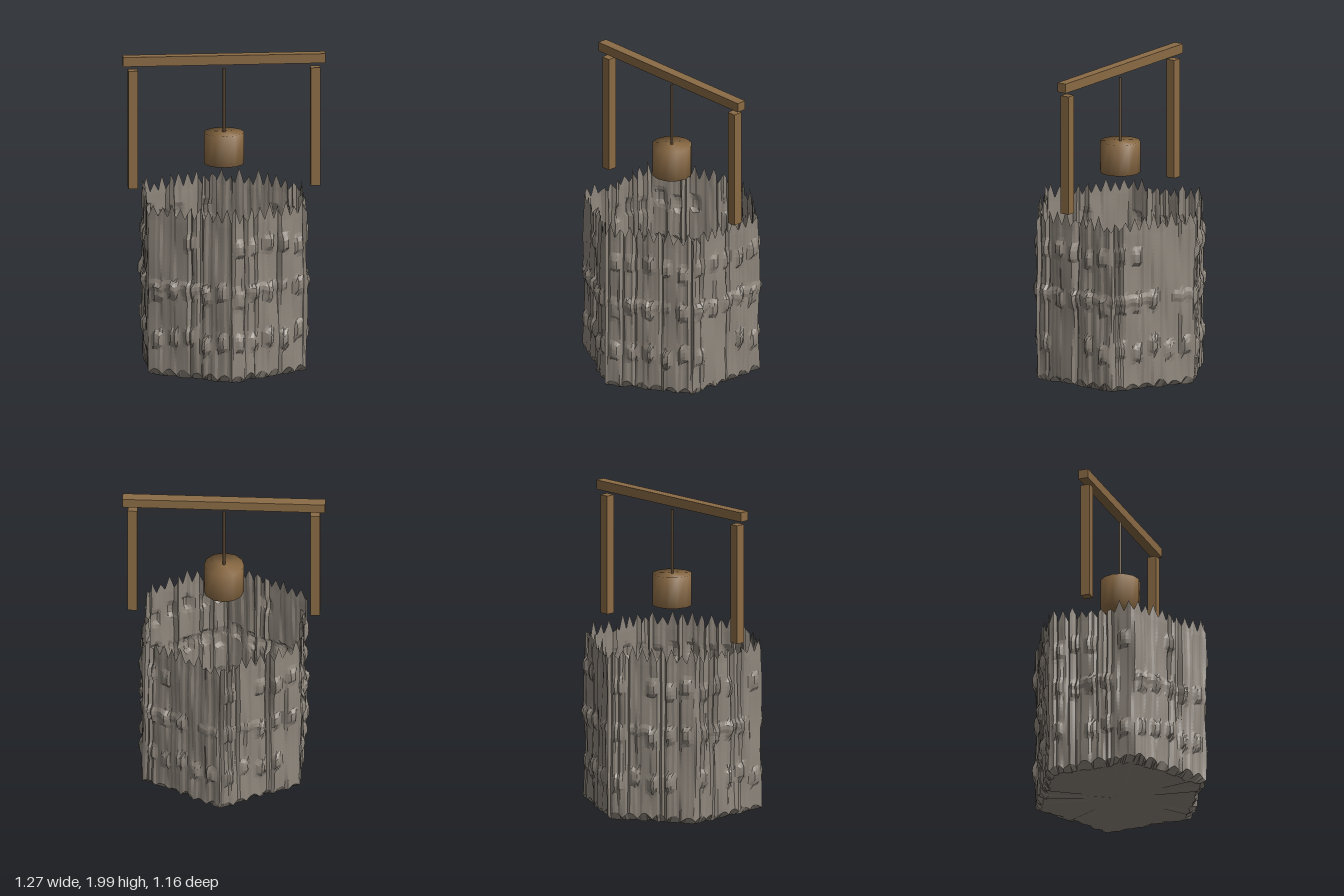
import * as THREE from 'three';
import { mergeVertices } from 'three/addons/utils/BufferGeometryUtils.js';

const SEGMENTS = 216;            // 36 columns on each of the six sides
const PER_SIDE = SEGMENTS / 6;

// Repeatable noise in 0..1
function hash(a, b = 0) {
  const s = Math.sin(a * 127.1 + b * 311.7 + 4.7) * 43758.5453;
  return s - Math.floor(s);
}
const bump = (d, w) => Math.max(0, 1 - (d / w) ** 4);

// Point on a hexagon whose corners lie on the z axis, pushed outwards by "out"
function hexPoint(i, out) {
  const side = Math.floor(i / PER_SIDE), t = (i % PER_SIDE) / PER_SIDE;
  const a = side * Math.PI / 3, b = a + Math.PI / 3, mid = a + Math.PI / 6;
  const r = 0.572;
  return [
    r * (Math.sin(a) * (1 - t) + Math.sin(b) * t) + Math.sin(mid) * out,
    r * (Math.cos(a) * (1 - t) + Math.cos(b) * t) + Math.cos(mid) * out,
  ];
}

// Roughness of the masonry: worn columns, ledges and knobs in rows
function relief(i, y) {
  const u = i % PER_SIDE, side = Math.floor(i / PER_SIDE);
  let out = 0.012 * (hash(Math.floor(i / 2)) - 0.5);
  out += 0.006 * Math.sin(y * 9 + Math.floor(i / 6) * 1.7);
  for (let row = 0; row < 3; row++) {
    const cy = 0.27 + row * 0.3;
    for (let k = 0; k < 5; k++) {
      if (hash(side * 5 + k, row) < 0.25) continue;
      const cu = 4 + k * 7, shift = (hash(k + side, row + 9) - 0.5) * 0.06;
      out += 0.021 * bump(u - cu, 2.2) * bump(y - cy - shift, 0.055);
    }
  }
  // Ledge along the middle course
  out += 0.008 * bump(y - 0.6, 0.035) * (hash(Math.floor(i / 9), 3) > 0.4 ? 1 : 0);
  // Long cracks which narrow towards the foot
  if (hash(i, 7) > 0.88) out -= 0.022 * Math.min(1, y + 0.2);
  return out;
}

// Thin six-sided wall with a jagged rim, a ragged foot and a fanned floor
function wellGeometry() {
  const positions = [0, 0.008, 0], index = [];
  const rows = 40;
  for (let j = 0; j <= rows; j++) {
    for (let i = 0; i < SEGMENTS; i++) {
      const tooth = Math.floor(i / 4), phase = (i % 4) / 4;
      const spike = 1 - Math.abs(phase * 2 - 1);
      const rim = 1.045 + spike * (0.035 + 0.07 * hash(tooth, 5));
      const foot = 0.03 + 0.045 * Math.abs(Math.sin(i * Math.PI / 6)) * (0.5 + 0.5 * hash(Math.floor(i / 6), 2));
      let x, y, z;
      if (j === 0) {
        [x, z] = hexPoint(i, 0);
        const s = 0.9 + 0.05 * hash(Math.floor(i / 3), 6);
        x *= s; z *= s;
        y = 0.008 + 0.012 * hash(Math.floor(i / 4), 8);
      } else {
        const t = (j - 1) / (rows - 1);
        y = foot + (1.02 - foot) * Math.min(1, t * rows / (rows - 1));
        if (j === rows) y = rim;
        [x, z] = hexPoint(i, relief(i, Math.min(y, 1.02)));
      }
      positions.push(x, y, z);
    }
  }
  const at = (j, i) => 1 + j * SEGMENTS + (i % SEGMENTS);
  for (let i = 0; i < SEGMENTS; i++) {
    index.push(0, at(0, i + 1), at(0, i));
    for (let j = 0; j < rows; j++) {
      const a = at(j, i), b = at(j, i + 1), c = at(j + 1, i + 1), d = at(j + 1, i);
      index.push(a, b, c, a, c, d);
    }
  }
  const g = new THREE.BufferGeometry();
  g.setAttribute('position', new THREE.Float32BufferAttribute(positions, 3));
  g.setIndex(index);
  const flat = g.toNonIndexed();
  flat.computeVertexNormals();
  return flat;
}

// Cylinder with normals blended over its rims
function softCylinder(radius, height, sides) {
  const g = new THREE.CylinderGeometry(radius, radius, height, sides);
  g.deleteAttribute('normal');
  g.deleteAttribute('uv');
  const merged = mergeVertices(g, 1e-4);
  merged.computeVertexNormals();
  return merged;
}

export function createModel() {
  const stone = new THREE.MeshStandardMaterial({ color: 0x8f877d, side: THREE.DoubleSide });
  stone.name = 'stone';
  const wood = new THREE.MeshStandardMaterial({ color: 0x8b6b45 });
  wood.name = 'wood';
  const ropeBrown = new THREE.MeshStandardMaterial({ color: 0x6b563e });
  ropeBrown.name = 'ropeBrown';

  const model = new THREE.Group();
  model.name = 'well';
  const add = (name, geometry, material, x, y, z = 0) => {
    const mesh = new THREE.Mesh(geometry, material);
    mesh.name = name;
    mesh.position.set(x, y, z);
    model.add(mesh);
  };

  add('stoneWall', wellGeometry(), stone, 0, 0);

  // Wooden frame
  for (const side of [-1, 1]) {
    add(side < 0 ? 'rightPost' : 'leftPost', new THREE.BoxGeometry(0.06, 0.76, 0.06), wood, side * 0.572, 1.53);
  }
  add('crossBeam', new THREE.BoxGeometry(1.27, 0.06, 0.064), wood, 0, 1.97);

  // Hanging bucket
  add('rope', new THREE.CylinderGeometry(0.008, 0.008, 0.41, 8), ropeBrown, 0, 1.705);
  add('bucket', softCylinder(0.126, 0.2, 12), wood, 0, 1.4);
  return model;
}
